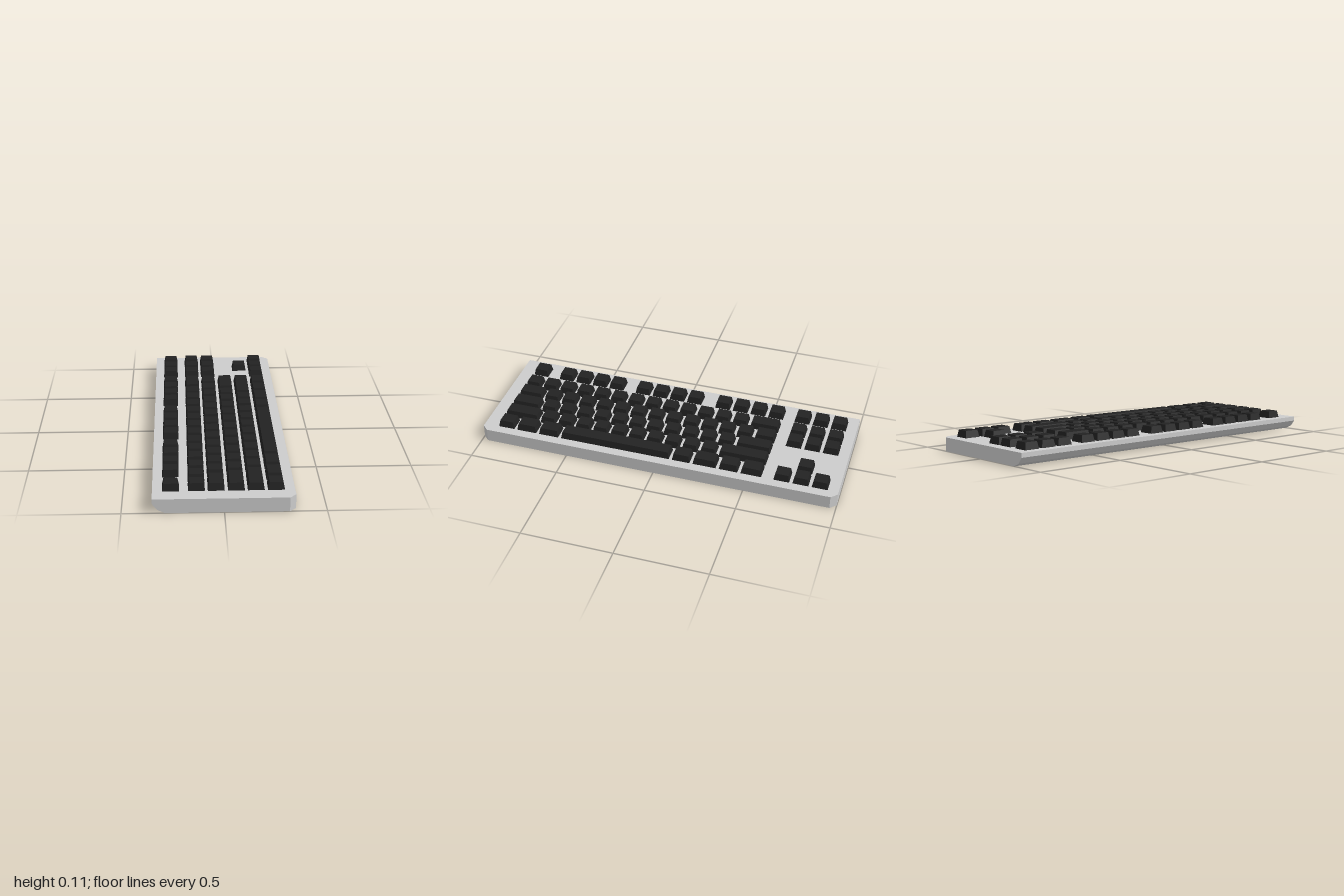
import * as THREE from 'three';

const CASE_TOP = 0.074, KEY_TOP = 0.112, TAPER = 0.0075;
const UNIT = 0.085, GAP = 0.018, PITCH = UNIT + GAP;
const caseMaterial = new THREE.MeshStandardMaterial({ color: 0xcccccc, flatShading: true });
const keyMaterial = new THREE.MeshStandardMaterial({ color: 0x222222, flatShading: true });

// Slab with two cut corners on +x and a rounded-under edge on -x
function makeCase() {
  const plan = new THREE.Shape([[-0.351, -1], [0.318, -1], [0.35, -0.967], [0.35, 0.967], [0.318, 1], [-0.351, 1]]
    .map(([x, z]) => new THREE.Vector2(x, z)));
  const geometry = new THREE.ExtrudeGeometry(plan, { depth: 3, steps: 3, bevelEnabled: false });
  geometry.rotateX(-Math.PI / 2);
  const heights = [0, 0.018, 0.05, CASE_TOP];
  const edge = [-0.287, -0.326, -0.351, -0.351];
  const p = geometry.attributes.position;
  for (let i = 0; i < p.count; i++) {
    const level = Math.round(p.getY(i));
    p.setY(i, heights[level]);
    if (p.getX(i) < -0.3) p.setX(i, edge[level]);
  }
  geometry.computeVertexNormals();
  const mesh = new THREE.Mesh(geometry, caseMaterial);
  mesh.name = 'case';
  return mesh;
}

// Tapered keycap centred on x, running from z to z + length
function makeKey(name, x, z, length = UNIT) {
  const height = KEY_TOP - CASE_TOP;
  const geometry = new THREE.BoxGeometry(0.083, height, length);
  const p = geometry.attributes.position;
  for (let i = 0; i < p.count; i++) {
    if (p.getY(i) < 0) continue;
    p.setX(i, p.getX(i) - Math.sign(p.getX(i)) * TAPER);
    p.setZ(i, p.getZ(i) - Math.sign(p.getZ(i)) * TAPER);
  }
  geometry.computeVertexNormals();
  const mesh = new THREE.Mesh(geometry, keyMaterial);
  mesh.position.set(x, CASE_TOP + height / 2, z + length / 2);
  mesh.name = name;
  return mesh;
}

// Line of keys laid end to end along z
function makeRow(name, x, start, lengths) {
  const row = new THREE.Group();
  row.name = name;
  let z = start;
  for (const length of lengths) {
    row.add(makeKey('key', x, z, length));
    z += length + GAP;
  }
  return row;
}

export function createModel() {
  const model = new THREE.Group();
  model.name = 'keyboard';
  model.add(makeCase());

  const rowX = [-0.261, -0.134, -0.037, 0.062, 0.159, 0.258];
  const units = (n) => Array(n).fill(UNIT);
  const mainStart = -0.585, navStart = -0.942;

  // Outer row in three groups of four, plus the corner key
  for (const z of [mainStart, -0.108, 0.362]) model.add(makeRow('outerRowKeys', rowX[0], z, units(4)));
  model.add(makeKey('escapeKey', rowX[0], 0.83));

  // Main block
  model.add(makeRow('numberRow', rowX[1], mainStart, [0.159, ...units(13)]));
  model.add(makeRow('upperLetterRow', rowX[2], mainStart, [0.11, ...units(12), 0.136]));
  model.add(makeRow('homeLetterRow', rowX[3], mainStart, [0.19, ...units(11), 0.159]));
  model.add(makeRow('lowerLetterRow', rowX[4], mainStart, [0.261, ...units(10), 0.191]));
  model.add(makeRow('spaceRow', rowX[5], mainStart, [0.112, 0.102, 0.127, 0.098, 0.62, 0.112, 0.112, 0.091]));

  // Navigation cluster and arrows
  for (const i of [0, 1, 2]) model.add(makeRow('navigationKeys', rowX[i], navStart, units(3)));
  model.add(makeRow('arrowKeys', rowX[5], navStart, units(3)));
  model.add(makeKey('upArrowKey', rowX[4], navStart + PITCH));

  return model;
}
